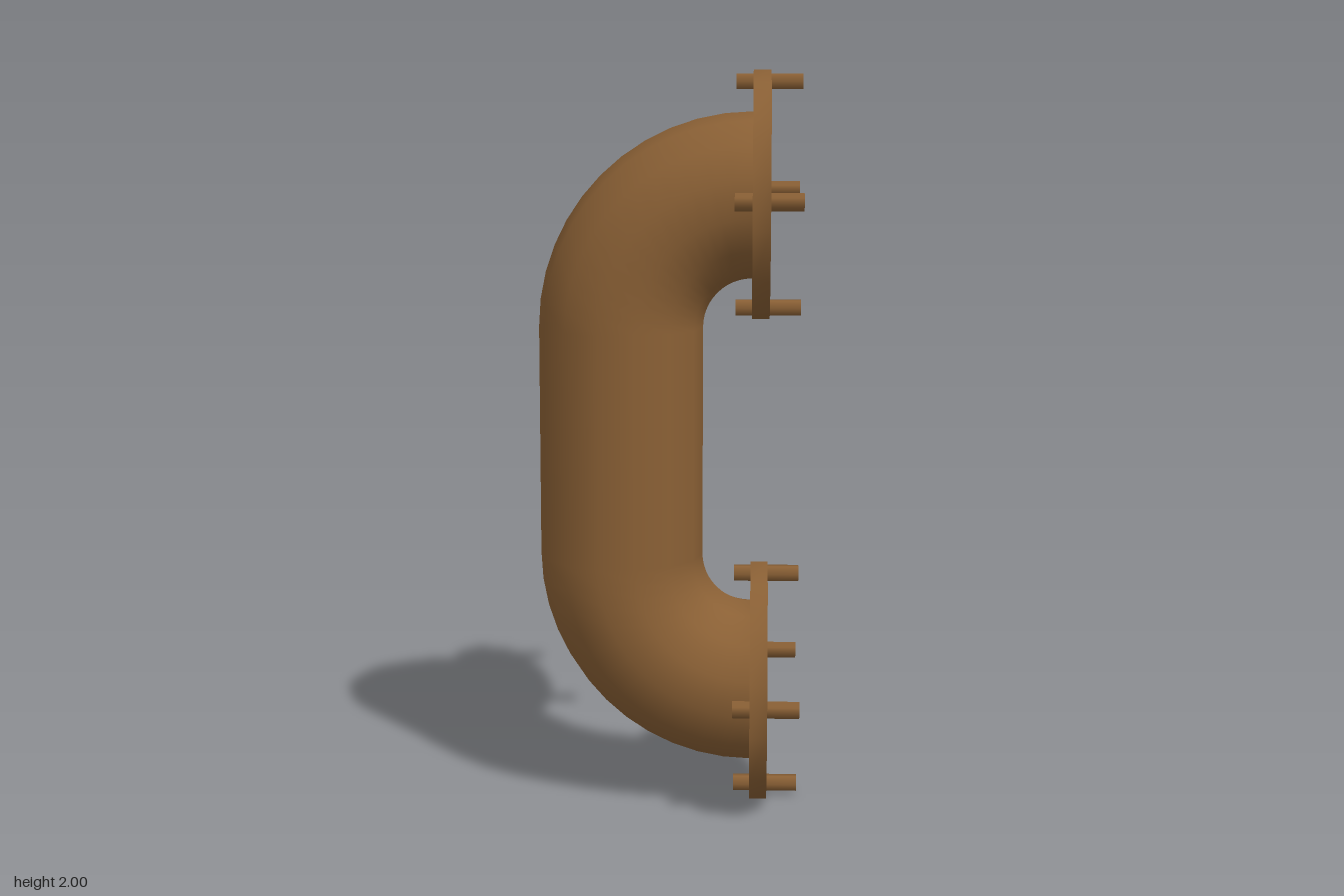
import * as THREE from 'three';
import { toCreasedNormals } from 'three/addons/utils/BufferGeometryUtils.js';

const SIDES = 14;
const PIPE_R = 0.2225;
const BEND_R = 0.355;
const FLANGE_R = 0.332;
const PIPE_X = -0.1325;             // axis of the upright pipe
const END_X = PIPE_X + BEND_R;      // where the pipe meets the flanges
const FLANGE_T = 0.047;
const OPENING_Y = 0.668;            // height of the openings above and below the middle

const metal = new THREE.MeshStandardMaterial({ color: 0x8a6035 });
const shell = new THREE.MeshStandardMaterial({ color: 0x8a6035, side: THREE.DoubleSide });

function add(parent, name, geometry, material = metal) {
  const mesh = new THREE.Mesh(geometry, material);
  mesh.name = name;
  parent.add(mesh);
  return mesh;
}

// Corners of a regular polygon with one corner pointing up
function polygon(radius) {
  return Array.from({ length: SIDES }, (_, i) => {
    const a = (i / SIDES) * Math.PI * 2;
    return new THREE.Vector2(-Math.sin(a) * radius, Math.cos(a) * radius);
  });
}

// Ring plate with four bolts, facing +x
function createFlange() {
  const group = new THREE.Group();
  const shape = new THREE.Shape(polygon(FLANGE_R));
  shape.holes.push(new THREE.Path(polygon(PIPE_R)));
  const plate = new THREE.ExtrudeGeometry(shape, { depth: FLANGE_T, bevelEnabled: false });
  plate.rotateY(Math.PI / 2);
  add(group, 'flangePlate', toCreasedNormals(plate, 0.6));

  for (let i = 0; i < 4; i++) {
    const bolt = new THREE.CylinderGeometry(0.0235, 0.0235, 0.177, 6);
    bolt.rotateZ(Math.PI / 2).translate(0.043, 0.301, 0).rotateX(i * Math.PI / 2);
    add(group, 'bolt', bolt);
  }
  return group;
}

export function createModel() {
  const model = new THREE.Group();
  model.name = 'pipe';

  // Upright pipe
  const bendY = OPENING_Y - BEND_R;
  const upright = new THREE.CylinderGeometry(PIPE_R, PIPE_R, bendY * 2, SIDES, 1, true);
  upright.rotateY(-Math.PI / 2);
  add(model, 'uprightPipe', upright, shell).position.set(PIPE_X, 1, 0);

  // Quarter bends and flanges at both ends
  for (const s of [1, -1]) {
    const bend = new THREE.TorusGeometry(BEND_R, PIPE_R, SIDES, 12, Math.PI / 2);
    bend.rotateZ(s > 0 ? Math.PI / 2 : Math.PI);
    add(model, s > 0 ? 'upperBend' : 'lowerBend', bend, shell).position.set(END_X, 1 + s * bendY, 0);

    const flange = createFlange();
    flange.name = s > 0 ? 'upperFlange' : 'lowerFlange';
    flange.position.set(END_X, 1 + s * OPENING_Y, 0);
    model.add(flange);
  }
  return model;
}
